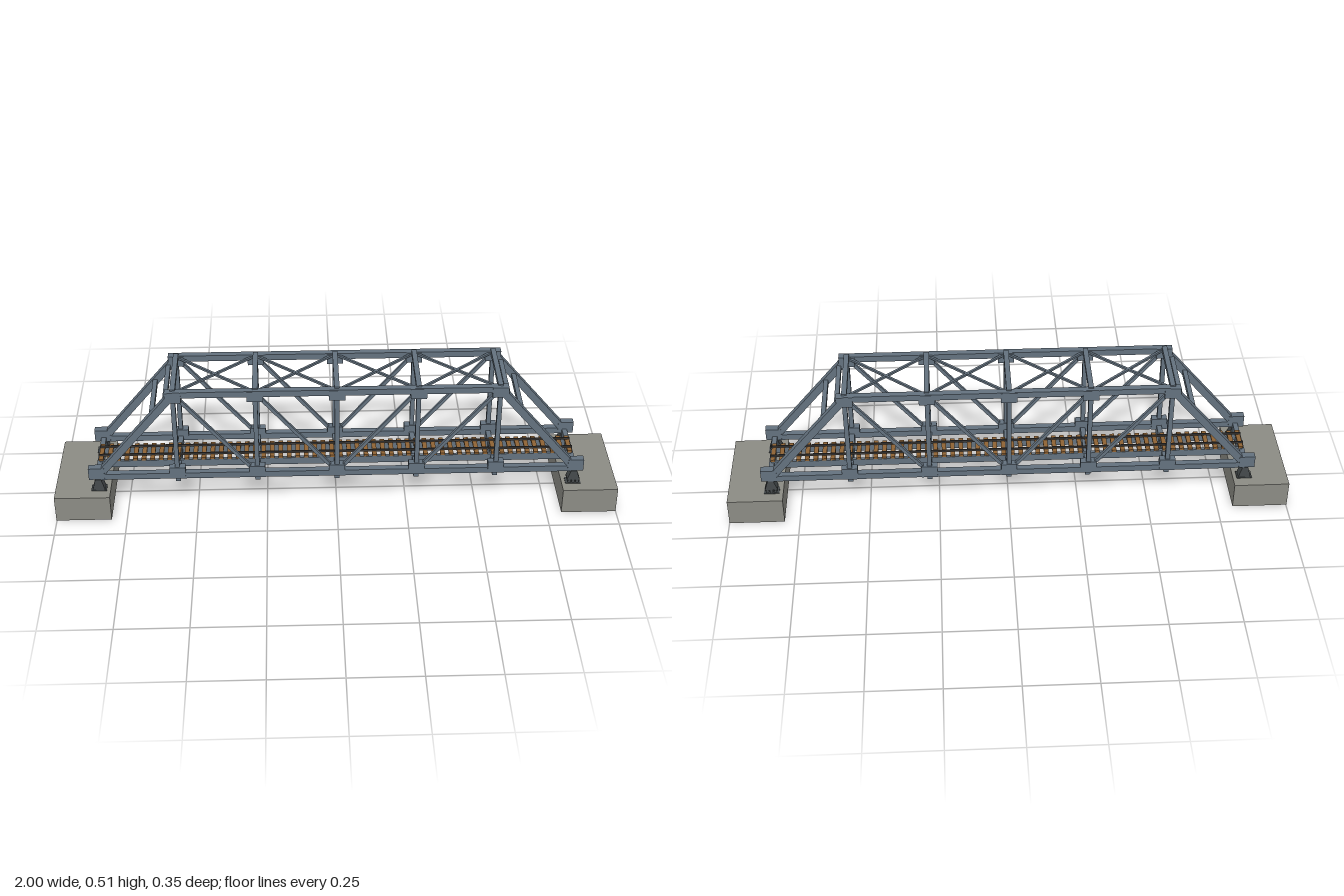
import * as THREE from 'three';

const mat = (name, color) => {
  const m = new THREE.MeshStandardMaterial({ color });
  m.name = name;
  return m;
};

export function createModel() {
  const steel = mat('blue grey steel', 0x64727f);
  const concrete = mat('concrete', 0x8b8b84);
  const iron = mat('dark bearing iron', 0x454a4c);
  const timber = mat('timber', 0x8f6334);
  const railSteel = mat('rail steel', 0x3d3a38);

  const model = new THREE.Group();
  model.name = 'trussBridge';

  const add = (name, geo, material, x, y, z) => {
    const m = new THREE.Mesh(geo, material);
    m.name = name;
    m.position.set(x, y, z);
    model.add(m);
    return m;
  };
  const box = (name, w, h, d, x, y, z, material = steel) =>
    add(name, new THREE.BoxGeometry(w, h, d), material, x, y, z);

  // Straight member between two points in a plane of constant z
  const member = (name, x1, y1, x2, y2, z, h, d) => {
    const m = box(name, Math.hypot(x2 - x1, y2 - y1), h, d, (x1 + x2) / 2, (y1 + y2) / 2, z);
    m.rotation.z = Math.atan2(y2 - y1, x2 - x1);
  };

  const PANEL = 0.2815, END = 3 * PANEL, HIP = 2 * PANEL;
  const LOW = 0.161, HIGH = 0.499, SIDE = 0.1185;

  // Side trusses
  for (const s of [-1, 1]) {
    const z = s * SIDE;
    box('bottomChord', 2 * END + 0.02, 0.023, 0.023, 0, LOW, z);
    box('topChord', 2 * HIP, 0.023, 0.023, 0, HIGH, z);
    for (let i = -2; i <= 2; i++) {
      const x = i * PANEL;
      box('vertical', 0.016, HIGH - LOW, 0.017, x, (HIGH + LOW) / 2, z);
      box('lowerGusset', 0.056, 0.046, 0.0265, x, 0.173, z);
      box('upperGusset', 0.056, 0.04, 0.0265, x, 0.489, z);
    }
    for (const e of [-1, 1]) {
      member('endPost', e * END, LOW, e * HIP, HIGH, z, 0.026, 0.0235);
      member('diagonal', e * HIP, HIGH, e * PANEL, LOW, z, 0.012, 0.012);
      member('diagonal', e * PANEL, HIGH, 0, LOW, z, 0.012, 0.012);
      box('endGusset', 0.056, 0.046, 0.0265, e * (END + 0.004), 0.175, z);
    }
  }

  // Cross beams below the deck and struts across the top
  for (let i = -3; i <= 3; i++) {
    box('floorBeam', 0.018, 0.038, 2 * SIDE, i * PANEL, 0.149, 0);
    if (Math.abs(i) < 3) box('topStrut', 0.018, 0.018, 2 * SIDE, i * PANEL, 0.506, 0);
  }

  // Portal beams between the sloping end posts
  for (const e of [-1, 1]) {
    for (const y of [0.405, 0.465]) {
      const x = END - (y - LOW) / (HIGH - LOW) * PANEL;
      box('portalBeam', 0.016, 0.02, 2 * SIDE, e * x, y, 0);
    }
  }

  // Crossed top bracing in the four middle panels
  const braceLength = Math.hypot(PANEL, 2 * SIDE);
  for (let i = -1.5; i <= 1.5; i++) {
    for (const s of [-1, 1]) {
      const brace = box('topBrace', braceLength, 0.008, 0.008, i * PANEL, 0.501, 0);
      brace.rotation.y = s * Math.atan2(2 * SIDE, PANEL);
    }
  }

  // Track: stringers, sleepers and rails
  for (const s of [-1, 1]) {
    box('stringer', 2 * END, 0.027, 0.012, 0, 0.158, s * 0.042);
    box('rail', 1.7, 0.008, 0.005, 0, 0.183, s * 0.026, railSteel);
  }
  const ties = 56;
  for (let i = 0; i < ties; i++) {
    box('sleeper', 0.016, 0.008, 0.096, -0.84 + 1.68 * i / (ties - 1), 0.176, 0, timber);
  }

  // Abutments; the left bearing is on rollers, the other is fixed
  box('abutment', 0.196, 0.097, 0.35, 0.902, 0.0485, 0, concrete);
  box('abutment', 0.196, 0.097, 0.35, -0.902, 0.0555, 0, concrete);

  const pedestal = (x, y0, y1, z) => {
    const shape = new THREE.Shape([
      new THREE.Vector2(-0.022, y0), new THREE.Vector2(0.022, y0),
      new THREE.Vector2(0.01, y1), new THREE.Vector2(-0.01, y1),
    ]);
    const geo = new THREE.ExtrudeGeometry(shape, { depth: 0.032, bevelEnabled: false });
    add('bearingPedestal', geo.translate(0, 0, -0.016), iron, x, 0, z);
  };
  const roller = new THREE.CylinderGeometry(0.006, 0.006, 0.032, 16).rotateX(Math.PI / 2);
  for (const s of [-1, 1]) {
    const z = s * 0.117;
    box('basePlate', 0.054, 0.004, 0.036, -END, 0.106, z, iron);
    pedestal(-END, 0.108, 0.152, z);
    box('basePlate', 0.054, 0.003, 0.036, END, 0.0985, z, iron);
    for (const dx of [-0.014, 0, 0.014]) add('roller', roller, iron, END + dx, 0.106, z);
    box('rollerPlate', 0.046, 0.004, 0.032, END, 0.114, z, iron);
    pedestal(END, 0.116, 0.152, z);
  }

  return model;
}
